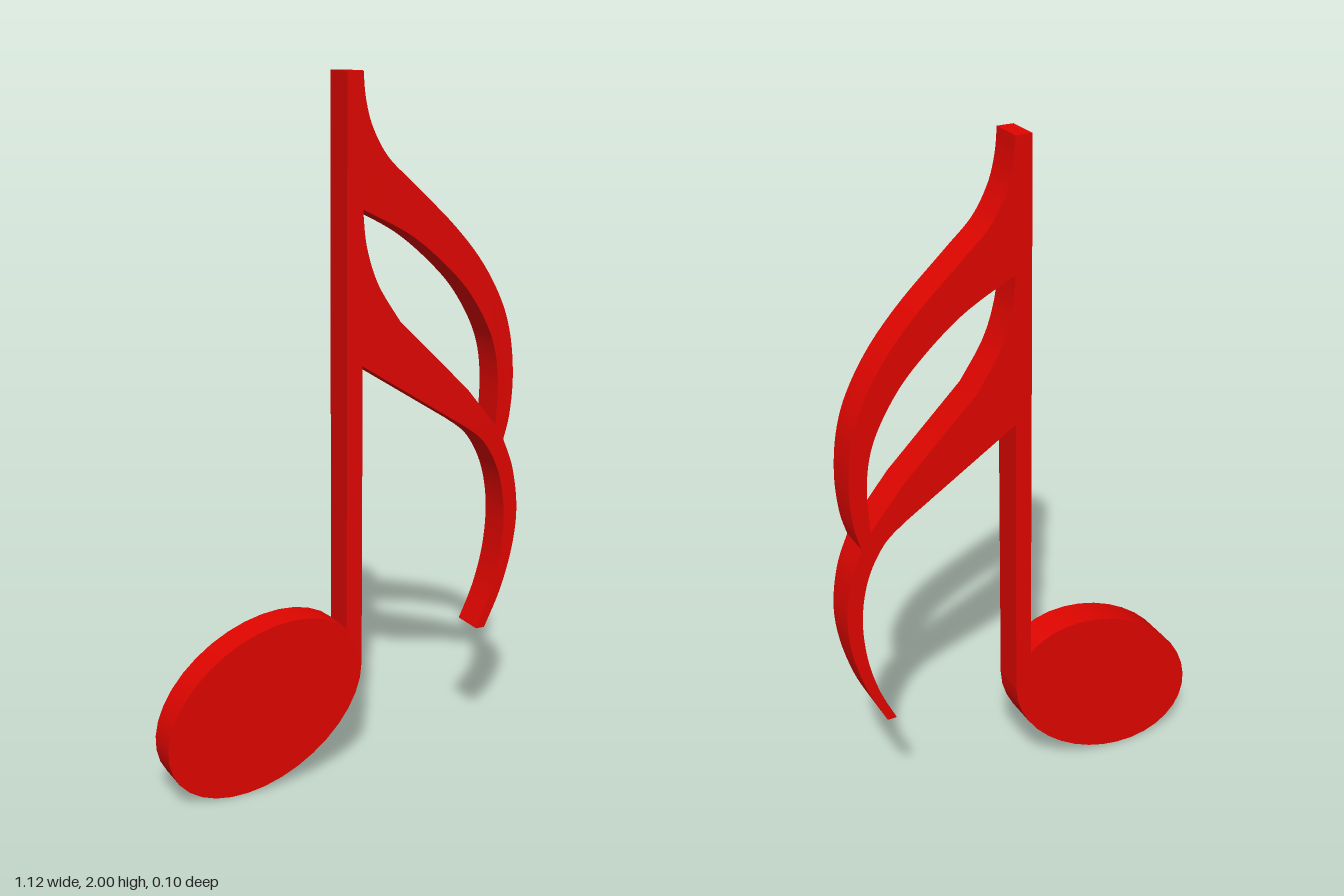
import * as THREE from 'three';
import { toCreasedNormals } from 'three/addons/utils/BufferGeometryUtils.js';

const DEPTH = 0.1;
const pts = (list) => list.map(([x, y]) => new THREE.Vector2(x, y));

export function createModel() {
  const group = new THREE.Group();
  group.name = 'sixteenthNote';

  // Outline, clockwise from the top of the stem
  const outline = new THREE.Shape();
  outline.moveTo(-0.008, 2);
  outline.lineTo(0.04, 2);
  // upper flag, outer edge
  outline.splineThru(pts([[0.047, 1.93], [0.068, 1.855], [0.115, 1.775], [0.195, 1.7], [0.325, 1.58],
    [0.42, 1.47], [0.487, 1.355], [0.52, 1.25], [0.532, 1.13], [0.524, 1.02], [0.505, 0.945]]));
  // lower flag, outer edge, tip and inner edge
  outline.splineThru(pts([[0.54, 0.853], [0.558, 0.73], [0.546, 0.61], [0.508, 0.48], [0.455, 0.367]]));
  outline.lineTo(0.427, 0.367);
  outline.splineThru(pts([[0.475, 0.477], [0.506, 0.6], [0.513, 0.73], [0.49, 0.85], [0.438, 0.945], [0.37, 1.0]]));
  outline.lineTo(0.04, 1.207);
  // stem's right side, then around the tilted oval head
  outline.lineTo(0.04, 0.33);
  outline.absellipse(-0.26, 0.25, 0.322, 0.22, -0.378, 0.2, true, 0.525);
  outline.closePath();

  // Opening between the two flags, counter-clockwise so its walls face inwards
  const gap = new THREE.Path();
  gap.moveTo(0.04, 1.637);
  gap.splineThru(pts([[0.052, 1.535], [0.088, 1.43], [0.157, 1.323]]));
  gap.lineTo(0.38, 1.107);
  gap.lineTo(0.477, 0.99);
  gap.splineThru(pts([[0.481, 1.127], [0.46, 1.243], [0.402, 1.355], [0.325, 1.447], [0.195, 1.555], [0.04, 1.637]]));
  outline.holes.push(gap);

  const solid = new THREE.ExtrudeGeometry(outline, { depth: DEPTH, bevelEnabled: false, curveSegments: 16 });
  solid.translate(0, 0, -DEPTH / 2);

  const note = new THREE.Mesh(
    toCreasedNormals(solid, 0.5),
    new THREE.MeshStandardMaterial({ color: 0xe00500 })
  );
  note.name = 'noteBody';
  group.add(note);
  return group;
}
